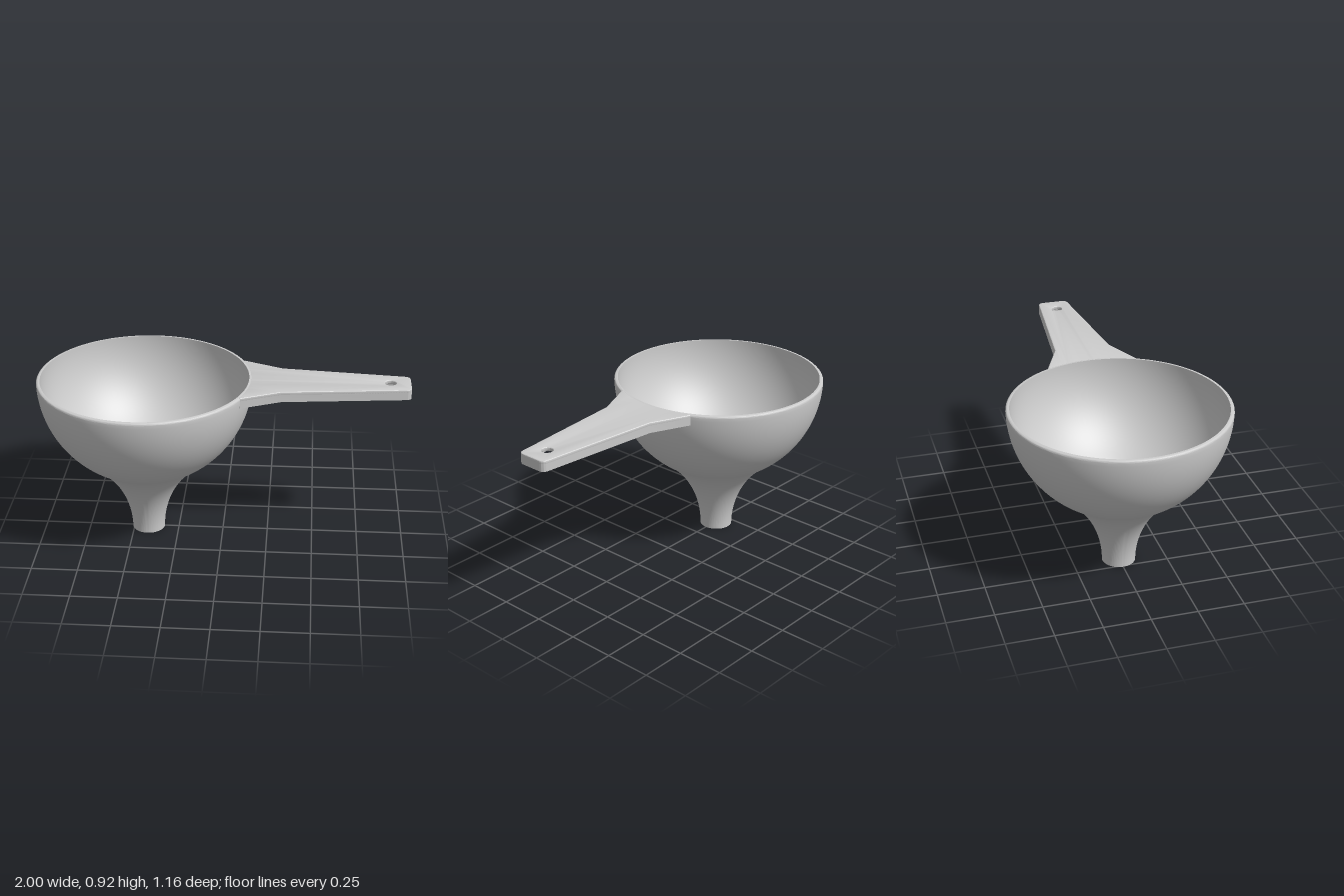
import * as THREE from 'three';
import { toCreasedNormals } from 'three/addons/utils/BufferGeometryUtils.js';

const CX = -0.42;   // funnel axis
const TOP = 0.923;  // rim height

// Rising profile: a concave spout arc flowing tangentially into a hemispherical bowl
function profile(spoutR, bowlR, yEnd) {
  const R = (bowlR ** 2 - spoutR ** 2 - TOP ** 2) / (2 * (spoutR - bowlR)); // spout arc radius
  const slope = Math.atan2(TOP, spoutR + R); // angle of the line joining both arc centres
  const pts = [];
  for (let i = 0; i <= 24; i++) {
    const a = slope * i / 24;
    pts.push(new THREE.Vector2(spoutR + R - R * Math.cos(a), R * Math.sin(a)));
  }
  const last = Math.asin((TOP - yEnd) / bowlR);
  for (let i = 1; i <= 28; i++) {
    const a = slope + (last - slope) * i / 28;
    pts.push(new THREE.Vector2(bowlR * Math.cos(a), TOP - bowlR * Math.sin(a)));
  }
  return pts;
}

// Handle outline, drawn inset by t, closed by an arc of radius r inside the bowl wall
function outline(PathType, t, r) {
  const root = 0.247 - t * 1.07, neck = 0.155 - t, tip = 0.085 - t;
  const end = 1 - t, c = 0.03 - t / 2;
  const a = Math.asin(root / 0.58);
  const p = new PathType();
  p.moveTo(CX + r * Math.cos(a), -r * Math.sin(a));
  p.lineTo(CX + 0.58 * Math.cos(a), -root);
  p.lineTo(0.315, -neck);
  p.lineTo(end - c, -tip - c * 0.1);
  p.quadraticCurveTo(end, -tip, end, -tip + c);
  p.lineTo(end, tip - c);
  p.quadraticCurveTo(end, tip, end - c, tip + c * 0.1);
  p.lineTo(0.315, neck);
  p.lineTo(CX + 0.58 * Math.cos(a), root);
  p.lineTo(CX + r * Math.cos(a), r * Math.sin(a));
  p.absarc(CX, 0, r, a, -a, true);
  return p;
}

export function createModel() {
  const group = new THREE.Group();
  const material = new THREE.MeshStandardMaterial({ color: 0xcccccc });
  const add = (name, geometry) => {
    const mesh = new THREE.Mesh(toCreasedNormals(geometry, 0.5), material);
    mesh.name = name;
    group.add(mesh);
    return mesh;
  };
  const extrude = (shape, y, options) => new THREE.ExtrudeGeometry(shape, { curveSegments: 20, ...options })
    .rotateX(-Math.PI / 2).translate(0, y, 0);

  // Funnel: outer skin, rounded rim, inner skin, spout mouth
  const f = 0.012;
  const pts = profile(0.09, 0.58, TOP - f);
  for (let i = 1; i <= 5; i++) {
    const a = i / 5 * Math.PI / 2;
    pts.push(new THREE.Vector2(0.58 - f + f * Math.cos(a), TOP - f + f * Math.sin(a)));
  }
  pts.push(...profile(0.068, 0.56, TOP).reverse(), pts[0].clone());
  add('funnel', new THREE.LatheGeometry(pts, 96)).position.x = CX;

  // Handle top plate with hanging hole and softened edges
  const b = 0.006;
  const plate = outline(THREE.Shape, 0, 0.566);
  plate.holes.push(new THREE.Path().absarc(0.89, 0, 0.03, 0, Math.PI * 2, true));
  add('handlePlate', extrude(plate, TOP - 0.022 + b, {
    depth: 0.022 - 2 * b, bevelThickness: b, bevelSize: b, bevelOffset: -b, bevelSegments: 3,
  }));

  // Handle skirt: thin wall around the hollow underside
  const skirt = outline(THREE.Shape, 0, 0.566);
  skirt.holes.push(outline(THREE.Path, 0.018, 0.571));
  add('handleSkirt', extrude(skirt, 0.865, { depth: TOP - b - 0.865, bevelEnabled: false }));

  return group;
}
